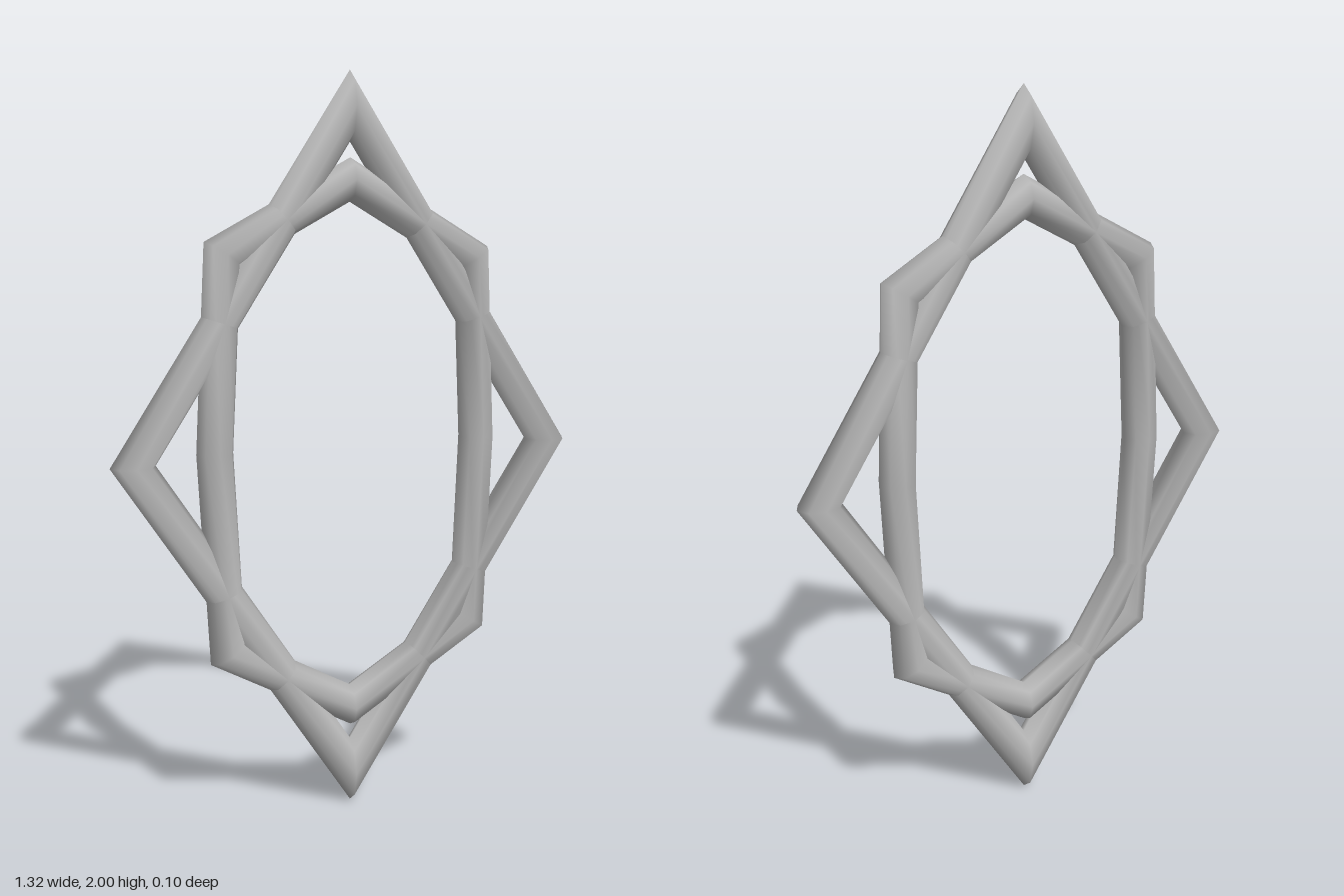
import * as THREE from 'three';

const RADIUS = 0.05;
const SIDES = 8;

// Closed mitred rod through corner points given clockwise in the XY plane
function mitredFrame(points) {
  const corners = points.map(([x, y]) => new THREE.Vector2(x, y));
  const n = corners.length;
  const edgeNormal = (i) => {
    const t = corners[(i + 1) % n].clone().sub(corners[i % n]).normalize();
    return new THREE.Vector2(-t.y, t.x);
  };
  const positions = [];
  const indices = [];
  for (let i = 0; i < n; i++) {
    const before = edgeNormal(i + n - 1);
    const after = edgeNormal(i);
    const mitre = before.clone().add(after).multiplyScalar(RADIUS / (1 + before.dot(after)));
    for (let j = 0; j < SIDES; j++) {
      const a = (j / SIDES) * Math.PI * 2;
      positions.push(
        corners[i].x + mitre.x * Math.cos(a),
        corners[i].y + mitre.y * Math.cos(a),
        RADIUS * Math.sin(a)
      );
      const k = (j + 1) % SIDES;
      const here = i * SIDES;
      const next = ((i + 1) % n) * SIDES;
      indices.push(here + j, here + k, next + j, here + k, next + k, next + j);
    }
  }
  const geometry = new THREE.BufferGeometry();
  geometry.setAttribute('position', new THREE.Float32BufferAttribute(positions, 3));
  geometry.setIndex(indices);
  geometry.computeVertexNormals();
  return geometry;
}

export function createModel() {
  const group = new THREE.Group();
  group.name = 'interlacedFrames';
  const grey = new THREE.MeshStandardMaterial({ color: 0xb4b4b4 });
  grey.name = 'grey';

  const add = (name, points) => {
    const mesh = new THREE.Mesh(mitredFrame(points), grey);
    mesh.name = name;
    group.add(mesh);
  };

  // Tall outer diamond
  add('diamondFrame', [[0, 1.91], [0.598, 1.0], [0, 0.095], [-0.598, 1.0]]);

  // Eight-cornered inner ring with slightly bowed sides
  add('innerRing', [
    [0, 1.722], [0.358, 1.515], [0.38, 1.02], [0.358, 0.497],
    [0, 0.285], [-0.352, 0.48], [-0.38, 1.02], [-0.352, 1.535],
  ]);

  return group;
}
